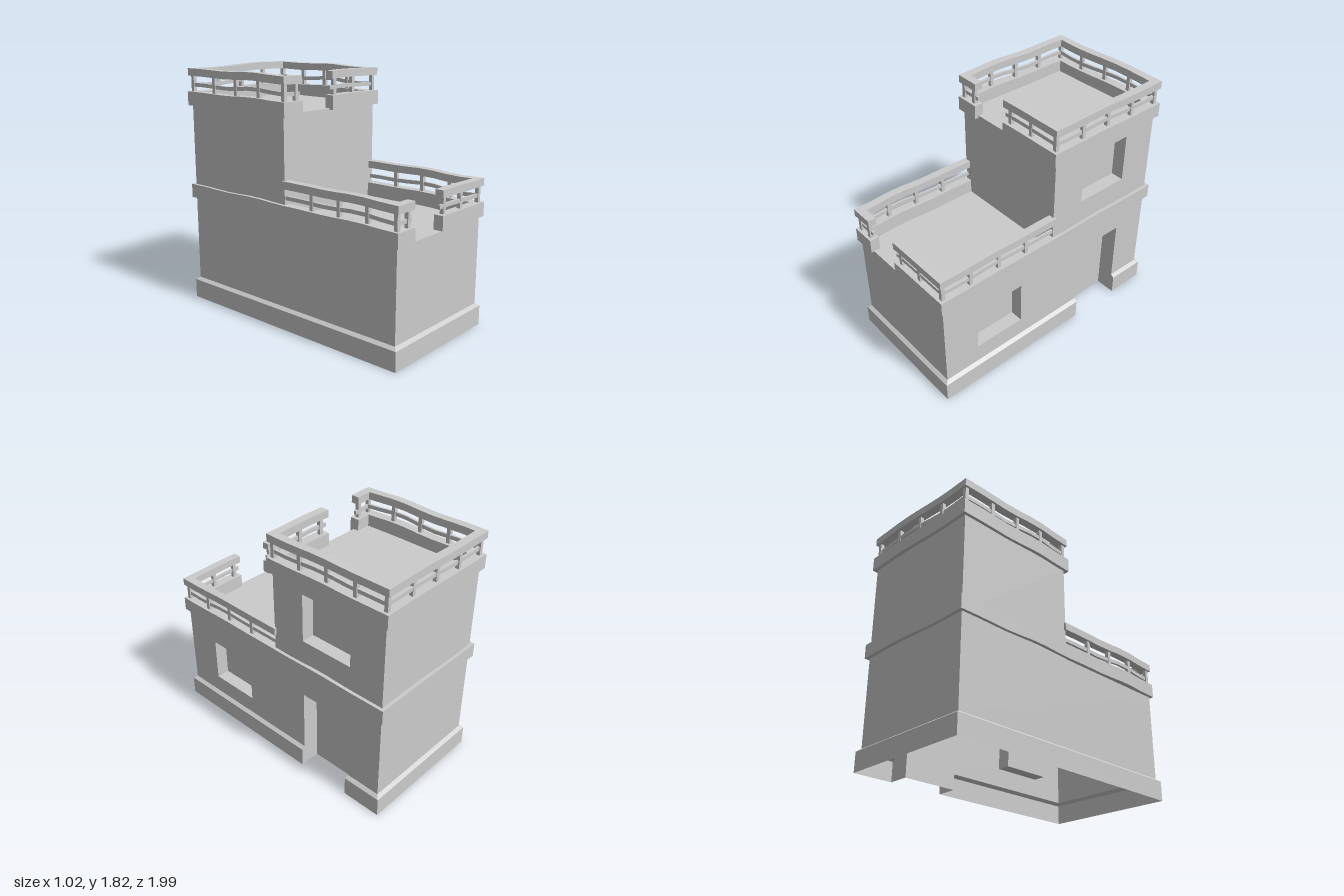
import * as THREE from 'three';
import { toCreasedNormals } from 'three/addons/utils/BufferGeometryUtils.js';

const material = new THREE.MeshStandardMaterial({ color: 0xcccccc, side: THREE.DoubleSide });

// Gentle hand-built unevenness shared by bands and rails
const wave = (x, z) => 0.6 * Math.sin(x * 8 + z * 7 + 1) + 0.4 * Math.sin(x * 5 - z * 13);

function add(parent, name, geometry) {
  const mesh = new THREE.Mesh(geometry, material);
  mesh.name = name;
  parent.add(mesh);
  return mesh;
}

// Box given by min/max corners, leaving out sides (0..5 = +x -x +y -y +z -z)
function openBox([x0, y0, z0], [x1, y1, z1], skip = []) {
  const g = new THREE.BoxGeometry(x1 - x0, y1 - y0, z1 - z0);
  g.translate((x0 + x1) / 2, (y0 + y1) / 2, (z0 + z1) / 2);
  const kept = Array.from(g.index.array).filter((_, i) => !skip.includes(Math.floor(i / 6)));
  g.setIndex(kept);
  g.clearGroups();
  return g;
}

// Sweep a profile of [outward, y] points along a mitred plan path of [x, z] points
function sweep(path, profile, { closed = true, amp = 0, pivot = profile[0] } = {}) {
  const dirs = path.slice(1).map((p, i) => {
    const d = new THREE.Vector2(p[0] - path[i][0], p[1] - path[i][1]);
    return d.normalize();
  });
  const outs = dirs.map((d) => new THREE.Vector2(d.y, -d.x));
  const stations = [];
  path.forEach(([x, z], i) => {
    const out = (outs[i - 1] || outs[0]).clone();
    if (i > 0 && i < path.length - 1) out.add(outs[i]);
    stations.push({ x, z, out });
    if (i === path.length - 1) return;
    const [nx, nz] = path[i + 1];
    const n = amp ? Math.max(1, Math.round(Math.hypot(nx - x, nz - z) / 0.12)) : 1;
    for (let k = 1; k < n; k++) {
      stations.push({ x: x + ((nx - x) * k) / n, z: z + ((nz - z) * k) / n, out: outs[i] });
    }
  });
  const place = (s, [o, y]) => {
    const w = amp * wave(s.x, s.z);
    const side = o + w * 0.4;
    return [s.x + s.out.x * side, y + w, s.z + s.out.y * side];
  };
  const pos = [];
  const tri = (...points) => points.forEach((p) => pos.push(...p));
  const edges = closed ? profile.length : profile.length - 1;
  for (let j = 0; j < edges; j++) {
    const p = profile[j], q = profile[(j + 1) % profile.length];
    for (let i = 0; i < stations.length - 1; i++) {
      const s = stations[i], t = stations[i + 1];
      const a = place(s, p), b = place(s, q), c = place(t, q), d = place(t, p);
      tri(a, b, c);
      tri(a, c, d);
    }
    // End caps
    const first = stations[0], last = stations[stations.length - 1];
    if (p !== pivot && q !== pivot) {
      tri(place(first, pivot), place(first, q), place(first, p));
      tri(place(last, pivot), place(last, p), place(last, q));
    }
  }
  const g = new THREE.BufferGeometry();
  g.setAttribute('position', new THREE.Float32BufferAttribute(pos, 3));
  return toCreasedNormals(g, 0.5);
}

const barProfile = (half, y0, y1) => [[-half, y0], [half, y0], [half, y1], [-half, y1]];

// Wall extents
const L = -0.487, R = 0.48, BACK = -0.965, FRONT = 0.97, MID = 0;
const FLOOR = 0.82, ROOF = 1.555, SKIRT = 0.165;

// Openings in the +x wall: z range, y range, depth
const door = { z0: -0.69, z1: -0.27, y0: 0, y1: 0.65, depth: 0.13 };
const windows = [
  { z0: 0.29, z1: 0.69, y0: 0.305, y1: 0.64, depth: 0.1 },
  { z0: -0.69, z1: -0.27, y0: 1.11, y1: 1.475, depth: 0.1 },
];

function buildWalls(group) {
  add(group, 'lowerStorey', openBox([L, SKIRT, BACK], [R, FLOOR, FRONT], [0, 3]));
  add(group, 'upperStorey', openBox([L, FLOOR, BACK], [R, ROOF, MID], [0, 3]));

  // Side wall drawn in (-z, y), with a notch for the door and holes for the windows
  const v = (z, y) => new THREE.Vector2(-z, y);
  const outline = new THREE.Shape([
    v(FRONT, SKIRT), v(door.z1, SKIRT), v(door.z1, door.y1), v(door.z0, door.y1),
    v(door.z0, SKIRT), v(BACK, SKIRT), v(BACK, ROOF), v(MID, ROOF), v(MID, FLOOR), v(FRONT, FLOOR),
  ]);
  for (const w of windows) {
    outline.holes.push(new THREE.Path([v(w.z0, w.y0), v(w.z0, w.y1), v(w.z1, w.y1), v(w.z1, w.y0)]));
  }
  const side = add(group, 'sideWall', new THREE.ShapeGeometry(outline));
  side.rotation.y = Math.PI / 2;
  side.position.x = R;

  // Recesses behind the openings
  for (const o of [door, ...windows]) {
    const skip = o === door ? [0, 3] : [0];
    const g = openBox([R - o.depth, o.y0, o.z0], [R, o.y1, o.z1], skip);
    add(group, o === door ? 'doorRecess' : 'windowRecess', g);
  }

  // Plinth with sloped top, interrupted by the doorway
  const plinthPath = [[R, door.z1], [R, FRONT], [L, FRONT], [L, BACK], [R, BACK], [R, door.z0]];
  const plinthProfile = [[0.026, 0], [0.026, 0.145], [0, SKIRT]];
  add(group, 'plinth', sweep(plinthPath, plinthProfile, { closed: false, pivot: [0, 0] }));
}

// Centre lines of the parapets
const PL = -0.475, PR = 0.469, PB = -0.955, GAP_L = -0.325, GAP_R = -0.02;
const ring = (zf) => [[GAP_L, zf], [PL, zf], [PL, PB], [PR, PB], [PR, zf], [GAP_R, zf]];

// Solid band with a railing of posts, a thin middle bar and a thick top rail
function buildParapet(group, name, bandPath, railPaths, posts, y) {
  const parapet = new THREE.Group();
  parapet.name = name;
  group.add(parapet);
  add(parapet, 'parapetBand', sweep(bandPath, barProfile(0.036, y, y + 0.105), { amp: 0.006 }));
  for (const path of railPaths) {
    add(parapet, 'topRail', sweep(path, barProfile(0.031, y + 0.222, y + 0.277), { amp: 0.007 }));
    add(parapet, 'middleBar', sweep(path, barProfile(0.009, y + 0.142, y + 0.17), { amp: 0.012 }));
  }
  for (const [x, z] of posts) {
    const post = add(parapet, 'post', new THREE.BoxGeometry(0.028, 0.135, 0.028));
    post.position.set(x, y + 0.163, z);
  }
}

export function createModel() {
  const model = new THREE.Group();
  model.name = 'house';
  buildWalls(model);

  const frontPosts = (z) => [PL, -0.365, 0.03, 0.235, PR].map((x) => [x, z]);
  const sidePosts = (zs) => zs.flatMap((z) => [[PL, z], [PR, z]]);

  // Terrace: its band wraps the whole building, the rail stops at the upper storey
  const zt = 0.957;
  buildParapet(model, 'terraceParapet', ring(zt), [
    [[PR, -0.015], [PR, zt], [GAP_R, zt]],
    [[GAP_L, zt], [PL, zt], [PL, -0.015]],
  ], [...frontPosts(zt), ...sidePosts([0.73, 0.49, 0.25])], 0.825);

  // Roof
  const zr = -0.005;
  const backPosts = [-0.24, 0, 0.235].map((x) => [x, PB]);
  buildParapet(model, 'roofParapet', ring(zr), [ring(zr)],
    [...frontPosts(zr), ...backPosts, ...sidePosts([-0.245, -0.48, -0.715, PB])], 1.541);

  return model;
}
